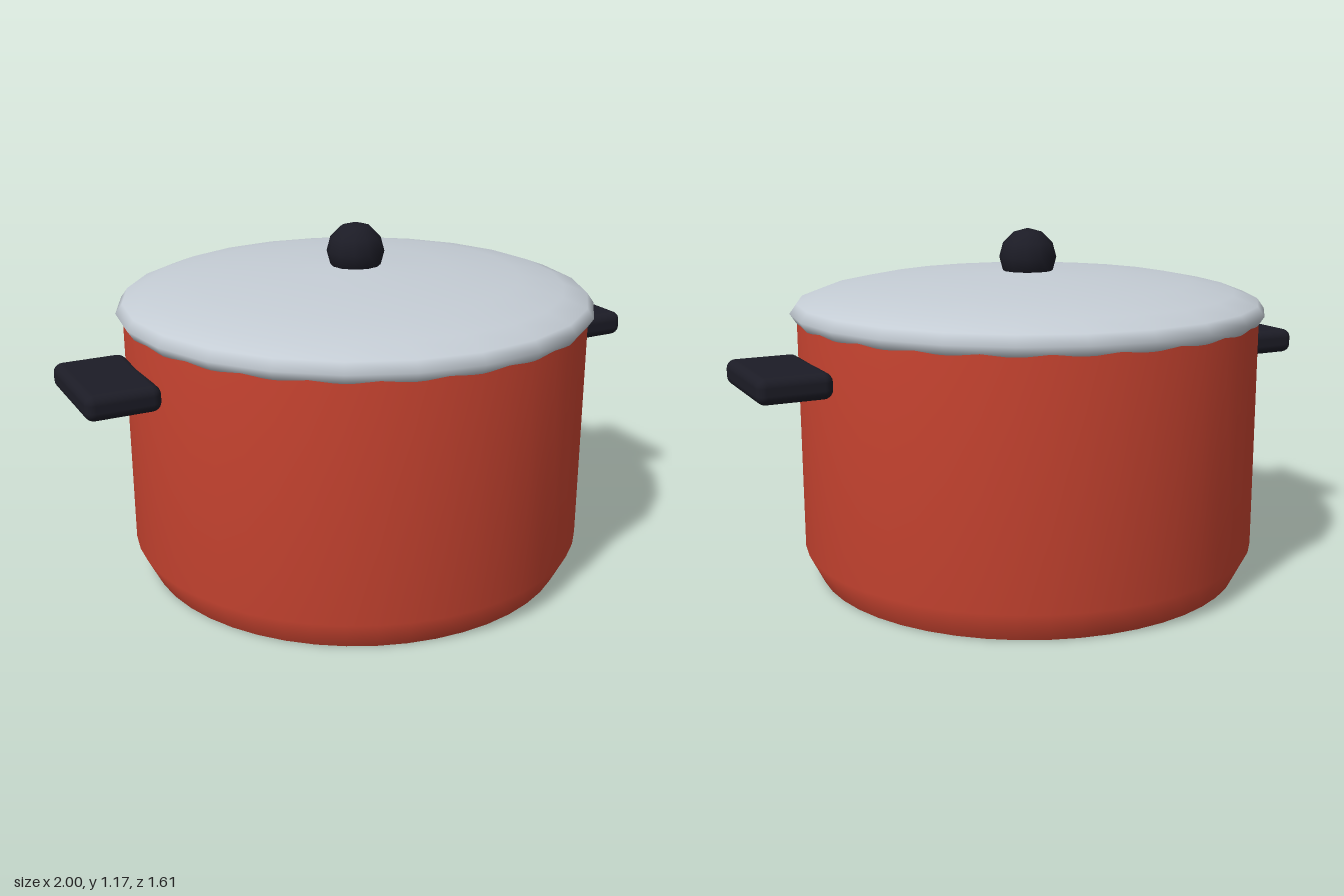
import * as THREE from 'three';
import { RoundedBoxGeometry } from 'three/addons/geometries/RoundedBoxGeometry.js';

const material = (name, color) => {
  const m = new THREE.MeshStandardMaterial({ color });
  m.name = name;
  return m;
};

const lathe = (points, segments) =>
  new THREE.LatheGeometry(points.map(([r, y]) => new THREE.Vector2(r, y)), segments);

export function createModel() {
  const group = new THREE.Group();
  const enamel = material('red enamel', 0xc4422f);
  const steel = material('brushed steel', 0xc4ccd4);
  const plastic = material('black plastic', 0x1c1c26);
  const baseOuter = material('base outer ring', 0xa89696);
  const baseInner = material('base inner ring', 0xb0b4b4);
  const baseCentre = material('base centre', 0xc3dada);

  const add = (name, geometry, mat) => {
    const mesh = new THREE.Mesh(geometry, mat);
    mesh.name = name;
    group.add(mesh);
    return mesh;
  };

  // Body with a bevelled foot and a rim turned in under the lid
  add('potBody', lathe([[0.73, 0], [0.78, 0.1], [0.78, 0.885], [0.72, 0.885]], 48), enamel);

  // Shallow domed lid with a rolled rim
  add('lid', lathe([
    [0.74, 0.885], [0.782, 0.873], [0.803, 0.905], [0.78, 0.937], [0.7, 0.968],
    [0.55, 0.998], [0.3, 1.022], [0, 1.032],
  ], 24), steel);

  // Round knob, sunk into the lid
  add('lidKnob', new THREE.SphereGeometry(0.097, 12, 6), plastic).position.y = 1.075;

  // Side handles
  for (const side of [1, -1]) {
    const handle = add(side > 0 ? 'leftHandle' : 'rightHandle',
      new RoundedBoxGeometry(0.24, 0.084, 0.394, 3, 0.03), plastic);
    handle.position.set(side * 0.88, 0.735, 0);
  }

  // Underside and the concentric plates on it: name, inner and outer radius, height
  const discs = [
    ['potBase', 0, 0.73, 0, enamel],
    ['baseOuterRing', 0.38, 0.56, -0.002, baseOuter],
    ['baseInnerRing', 0.07, 0.38, -0.002, baseInner],
    ['baseCentre', 0, 0.07, -0.002, baseCentre],
  ];
  for (const [name, inner, outer, y, mat] of discs) {
    const geometry = inner ? new THREE.RingGeometry(inner, outer, 48) : new THREE.CircleGeometry(outer, 48);
    const disc = add(name, geometry, mat);
    disc.rotation.x = Math.PI / 2;
    disc.position.y = y;
  }

  return group;
}
